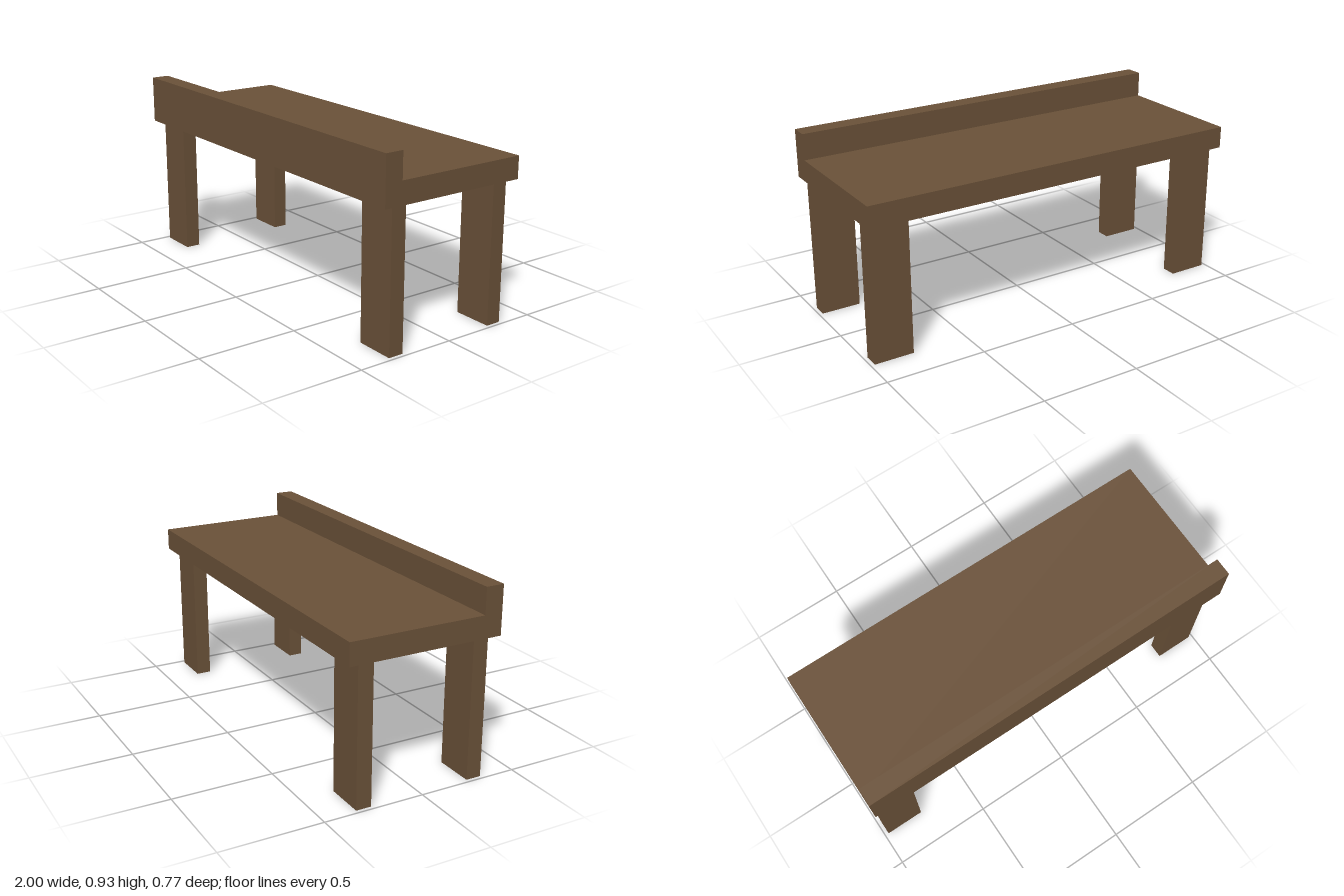
import * as THREE from 'three';

export function createModel() {
  const group = new THREE.Group();
  const wood = new THREE.MeshStandardMaterial({ color: 0x6b5239 });
  wood.name = 'brown wood';

  // Table top with a raised front ledge: L-shaped section (z, y) run along x
  const under = 0.69, surface = 0.8, ledgeTop = 0.93, halfDepth = 0.386, ledgeBack = 0.295;
  const section = new THREE.Shape([
    [-halfDepth, under], [halfDepth, under], [halfDepth, ledgeTop],
    [ledgeBack, ledgeTop], [ledgeBack, surface], [-halfDepth, surface],
  ].map(([z, y]) => new THREE.Vector2(z, y)));
  const topGeometry = new THREE.ExtrudeGeometry(section, { depth: 2, bevelEnabled: false });
  topGeometry.rotateY(-Math.PI / 2).translate(1, 0, 0);
  const top = new THREE.Mesh(topGeometry, wood);
  top.name = 'tableTop';
  group.add(top);

  // Four flat plank legs
  const legGeometry = new THREE.BoxGeometry(0.2, under, 0.076);
  for (const [side, x] of [['Left', 0.88], ['Right', -0.88]]) {
    for (const [end, z] of [['front', 0.294], ['back', -0.294]]) {
      const leg = new THREE.Mesh(legGeometry, wood);
      leg.name = `${end}${side}Leg`;
      leg.position.set(x, under / 2, z);
      group.add(leg);
    }
  }
  return group;
}
